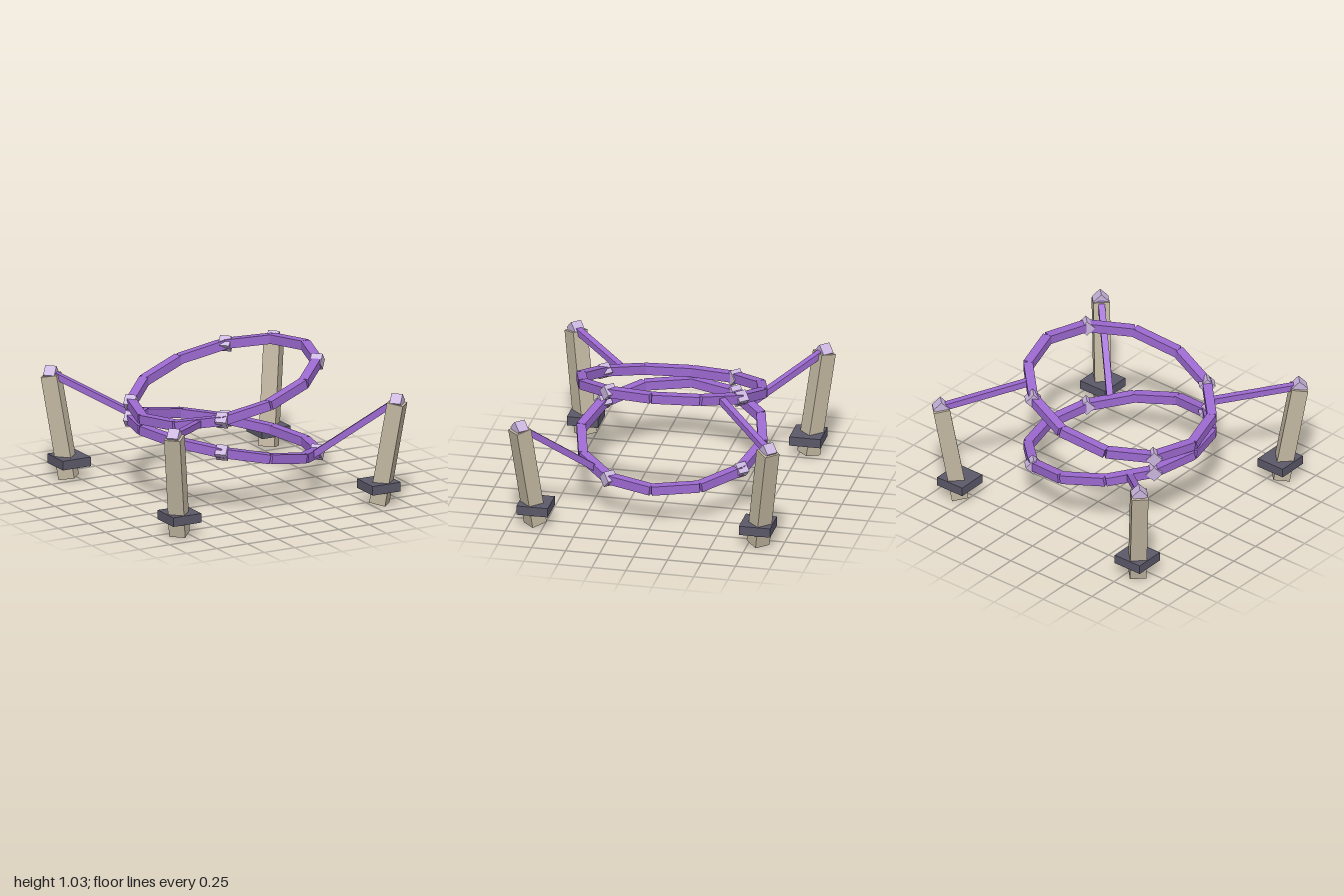
import * as THREE from 'three';

const mat = (name, color) => {
  const m = new THREE.MeshStandardMaterial({ color });
  m.name = name;
  return m;
};

export function createModel() {
  const model = new THREE.Group();
  model.name = 'tiltedRingSculpture';

  const purple = mat('purple', 0x9c69d0);
  const lavender = mat('lavender', 0xcab5de);
  const stone = mat('stone', 0xc2b7a1);
  const slate = mat('slate', 0x5c5869);

  const add = (parent, name, geometry, material) => {
    const mesh = new THREE.Mesh(geometry, material);
    mesh.name = name;
    parent.add(mesh);
    return mesh;
  };

  // Square bar running from a to b, kept level sideways
  const beam = (parent, name, a, b, size, material) => {
    const mesh = add(parent, name, new THREE.BoxGeometry(size, size, a.distanceTo(b)), material);
    mesh.position.copy(a).lerp(b, 0.5);
    mesh.lookAt(b);
    return mesh;
  };

  // Cube standing on its edge
  const knot = (parent, name, p, size) => {
    const mesh = add(parent, name, new THREE.BoxGeometry(size, size, size), lavender);
    mesh.position.copy(p);
    mesh.rotation.set(0, Math.PI / 4, Math.PI / 4);
  };

  // Two twelve-sided rings, sloping apart towards +x
  const R = 0.668;
  const upperY = (x) => 0.818 + 0.272 * x;
  const lowerY = (x) => 0.417 - 0.207 * x;
  const ring = (name, height) => {
    const group = new THREE.Group();
    group.name = name;
    model.add(group);
    const point = (i) => {
      const t = (i * Math.PI) / 6;
      const x = R * Math.cos(t);
      return new THREE.Vector3(x, height(x), R * Math.sin(t));
    };
    for (let i = 0; i < 12; i++) {
      beam(group, 'ringSegment', point(i), point(i + 1), 0.067, purple);
      if (i % 3 === 1) knot(group, 'ringKnot', point(i), 0.083);
    }
  };
  ring('upperRing', upperY);
  ring('lowerRing', lowerY);

  // Four leaning posts, each with a foot plate, a cap and a brace to one ring
  for (const sx of [-1, 1]) {
    for (const sz of [-1, 1]) {
      const post = new THREE.Group();
      post.name = 'post';
      model.add(post);
      const at = (d, y) => new THREE.Vector3(sx * d, y, sz * d);

      beam(post, 'leg', at(0.82, 0.0105), at(0.914, 0.768), 0.12, stone);
      const plate = add(post, 'footPlate', new THREE.BoxGeometry(0.23, 0.068, 0.23), slate);
      plate.position.copy(at(0.818, 0.14));
      knot(post, 'cap', at(0.914, 0.776), 0.083);

      const height = sx === sz ? lowerY : upperY;
      beam(post, 'brace', at(0.905, 0.775), at(0.465, height(sx * 0.465)), 0.047, purple);
    }
  }
  return model;
}
